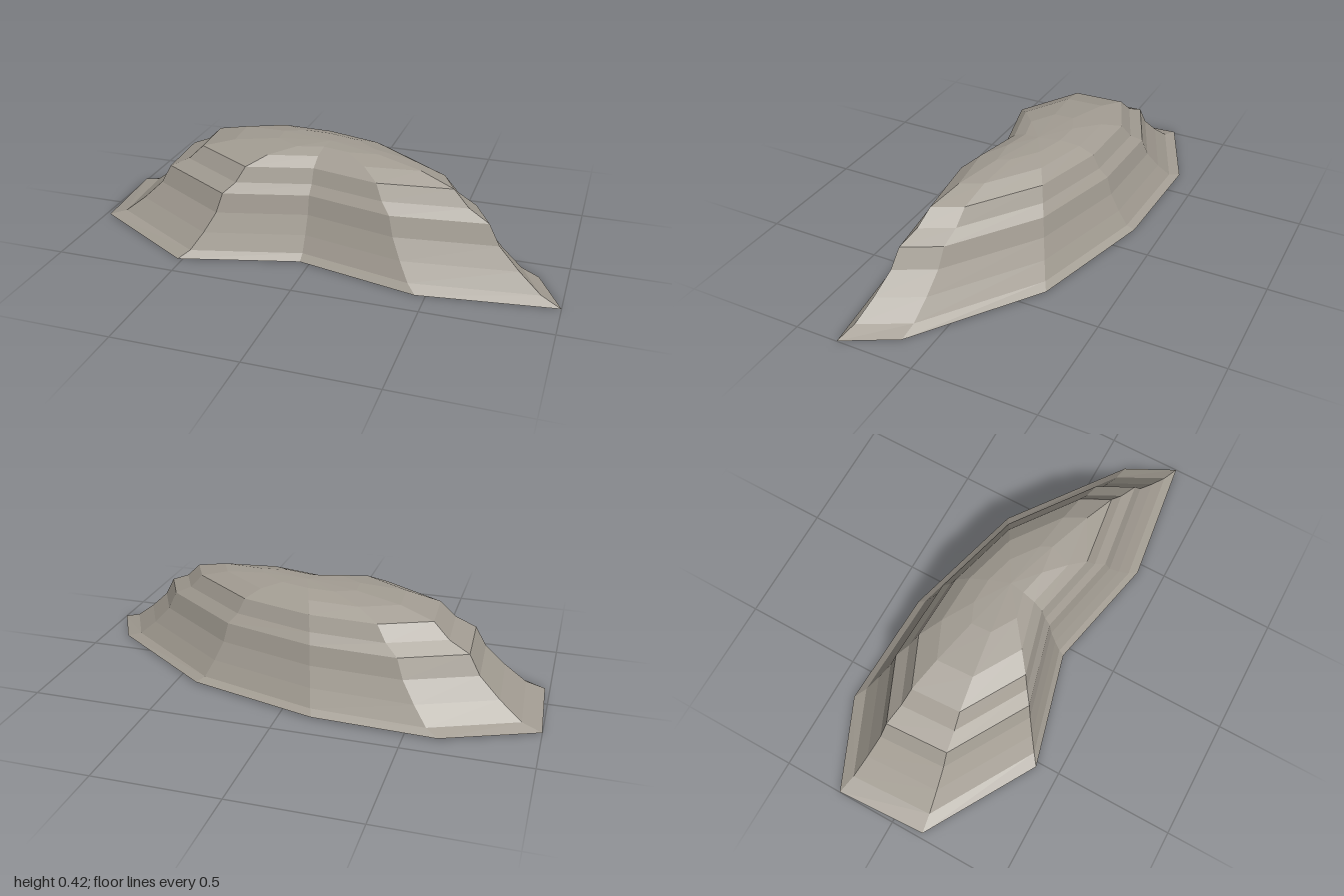
import * as THREE from 'three';

// Ground outline of the rock as [x, z], running clockwise seen from above
const OUTLINE = [
  [-1, -0.25], [-0.63, -0.41], [-0.13, -0.39], [0.41, -0.24], [0.89, 0.11],
  [1, 0.32], [0.46, 0.39], [-0.04, 0.28], [-0.52, 0.405], [-0.98, 0.13],
];

// Rings from the foot to the top as [outline scale, height]
const RINGS = [
  [1, 0.005], [0.92, 0.03], [0.83, 0.1], [0.745, 0.18], [0.7, 0.26],
  [0.615, 0.3], [0.55, 0.362], [0.41, 0.4], [0.22, 0.42],
];

export function createModel() {
  const stone = new THREE.MeshStandardMaterial({
    color: 0xa39d93, flatShading: true, side: THREE.DoubleSide,
  });
  stone.name = 'stone grey';

  const n = OUTLINE.length;
  const positions = [];
  const index = [];

  // Stepped slopes: the outline shrinks ring by ring, the foot tilts slightly
  RINGS.forEach(([scale, height], r) => {
    for (const [x, z] of OUTLINE) {
      const y = r === 0 ? Math.max(0, height - 0.012 * z) : height;
      positions.push(x * scale, y, z * scale);
    }
  });
  for (let r = 0; r < RINGS.length - 1; r++) {
    for (let i = 0; i < n; i++) {
      const j = (i + 1) % n;
      const a = r * n + i, b = r * n + j;
      index.push(a, a + n, b, b, a + n, b + n);
    }
  }

  // Shallow cap closing the top; the foot stays open
  const top = (RINGS.length - 1) * n;
  const centre = positions.length / 3;
  positions.push(0, 0.425, 0);
  for (let i = 0; i < n; i++) index.push(top + i, centre, top + (i + 1) % n);

  const geometry = new THREE.BufferGeometry();
  geometry.setAttribute('position', new THREE.Float32BufferAttribute(positions, 3));
  geometry.setIndex(index);
  geometry.computeVertexNormals();

  const rock = new THREE.Mesh(geometry, stone);
  rock.name = 'rockMound';

  const group = new THREE.Group();
  group.name = 'rock';
  group.add(rock);
  return group;
}
